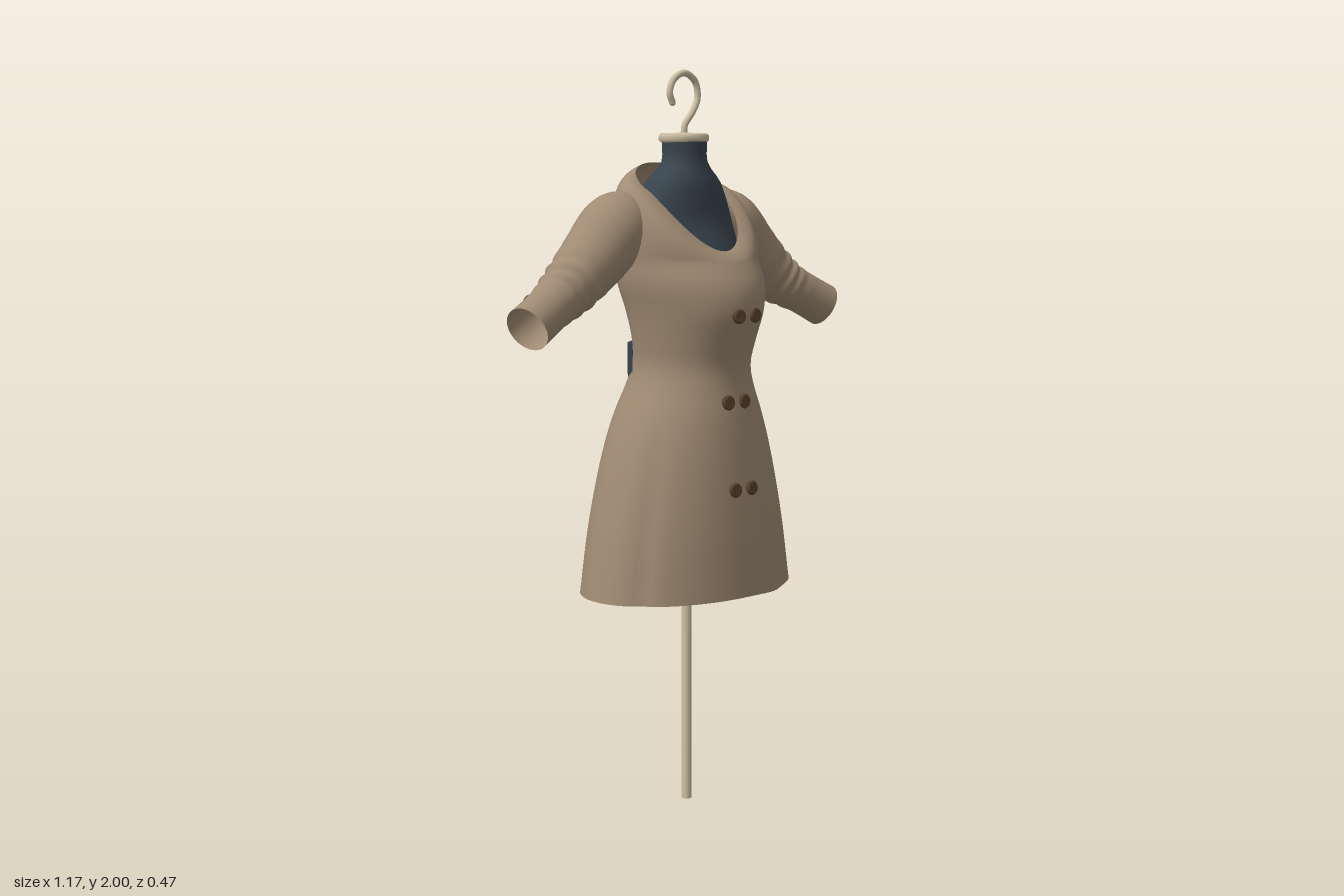
import * as THREE from 'three';

const V = (x, y, z) => new THREE.Vector3(x, y, z);
const mat = (name, color, side = THREE.FrontSide) => {
  const m = new THREE.MeshStandardMaterial({ color, side });
  m.name = name;
  return m;
};

// Closed skin over rows of points, each row running round the part
function loft(rows) {
  const n = rows[0].length, index = [];
  for (let i = 0; i < rows.length - 1; i++) {
    for (let j = 0; j < n; j++) {
      const a = i * n + j, b = i * n + (j + 1) % n;
      index.push(a, b, a + n, b, b + n, a + n);
    }
  }
  const g = new THREE.BufferGeometry().setFromPoints(rows.flat());
  g.setIndex(index);
  g.computeVertexNormals();
  return g;
}

// Smooth sampler for stations [t, ...values]
function sampler(stations) {
  const k = stations[0].length - 1;
  const it = new THREE.CubicInterpolant(
    stations.map(s => s[0]), stations.flatMap(s => s.slice(1)), k, new Float32Array(k));
  return t => Array.from(it.evaluate(t));
}

// Egg-shaped section: half width, front z, back z, middle z; angle 0 is the front
function sectionPoint([w, front, back, mid], y, a) {
  const c = Math.cos(a);
  return V(w * Math.sin(a), y, mid + c * (c > 0 ? front - mid : mid - back));
}

const SIDES = 72;
const angles = Array.from({ length: SIDES }, (_, j) => j / SIDES * Math.PI * 2);

const coatAt = sampler([
  [0.61, 0.33, 0.232, -0.235, 0], [0.8, 0.295, 0.222, -0.226, 0],
  [1.0, 0.243, 0.205, -0.2, 0], [1.1, 0.207, 0.193, -0.174, 0],
  [1.16, 0.18, 0.184, -0.15, 0], [1.22, 0.163, 0.182, -0.126, 0],
  [1.29, 0.169, 0.203, -0.118, 0], [1.37, 0.184, 0.229, -0.135, -0.005],
  [1.44, 0.203, 0.221, -0.152, -0.015], [1.5, 0.207, 0.186, -0.167, -0.025],
]);

function coatPoint(y, a) {
  const p = sectionPoint(coatAt(y), y, a);
  // Overlapping front flap and soft pleats of the skirt
  const skirt = 1 - THREE.MathUtils.smoothstep(y, 0.75, 1.2);
  const signed = a > Math.PI ? a - Math.PI * 2 : a;
  const flap = Math.exp(-Math.pow((signed - 0.3) / 0.16, 2)) * 0.012;
  const pleat = -0.008 * Math.exp(-Math.pow((Math.abs(signed) - 1.05) / 0.1, 2));
  const s = 1 + skirt * (flap + pleat) / 0.25;
  return V(p.x * s, y, p.z * s);
}

function coatBody() {
  const rows = [];
  for (let i = 0; i <= 44; i++) {
    const y = 0.61 + 0.89 * i / 44;
    rows.push(angles.map(a => coatPoint(y, a)));
  }
  // Chest and shoulders closing in to the V neckline and raised back collar
  const curves = angles.map(a => {
    const c = Math.cos(a), t = (1 - c) / 2, p = coatPoint(1.5, a);
    const neckY = c > 0 ? 1.69 - 0.165 * Math.pow(c, 1.3) : 1.69 - 0.065 * c;
    const neck = sectionPoint([0.135, 0.145, -0.125, -0.02], neckY, a);
    const z = (p.z + neck.z) / 2 * (1 - t) + p.z * 1.18 * t;
    const ctrl = V(p.x * 1.1, neckY + (c > 0 ? 0.03 - 0.035 * c : 0.03 + 0.06 * c), z);
    return new THREE.QuadraticBezierCurve3(p, ctrl, neck);
  });
  for (let i = 1; i <= 18; i++) rows.push(curves.map(q => q.getPoint(i / 18)));
  return loft(rows);
}

// Sleeve with pushed-up wrinkles around the elbow
function sleeve(side) {
  const stations = [
    [0.13, 1.61, -0.05, 0.07], [0.2, 1.587, -0.055, 0.095], [0.28, 1.518, -0.052, 0.09],
    [0.36, 1.454, -0.045, 0.078], [0.42, 1.415, -0.036, 0.067],
    [0.48, 1.384, -0.02, 0.06], [0.555, 1.345, -0.004, 0.061],
  ];
  const path = new THREE.CatmullRomCurve3(stations.map(s => V(s[0] * side, s[1], s[2])));
  const radius = sampler(stations.map((s, i) => [i / 6, s[3]]));
  const rows = [];
  for (let i = 0; i <= 60; i++) {
    const t = i / 60, c = path.getPoint(t), T = path.getTangent(t);
    const e1 = V(0, 0, 1).addScaledVector(T, -T.z).normalize();
    const e2 = T.clone().cross(e1);
    const crease = Math.exp(-Math.pow((t - 0.6) / 0.14, 2)) * 0.055;
    rows.push(angles.filter((_, j) => j % 2 === 0).map(a => {
      const r = radius(t)[0] * (1 + crease * Math.sin(t * 62 + 1.4 * Math.sin(a * 2 + 1)));
      return c.clone().addScaledVector(e1, r * Math.cos(a)).addScaledVector(e2, r * Math.sin(a));
    }));
  }
  return loft(rows);
}

// Padded torso and neck inside the coat
function dressForm() {
  const at = sampler([
    [0.75, 0.22, 0.16, -0.17, 0], [1.0, 0.2, 0.165, -0.165, 0],
    [1.2, 0.14, 0.14, -0.105, 0], [1.37, 0.155, 0.17, -0.11, 0],
    [1.5, 0.165, 0.13, -0.135, -0.01], [1.6, 0.16, 0.083, -0.13, -0.015],
    [1.67, 0.134, 0.074, -0.11, -0.015], [1.71, 0.108, 0.068, -0.098, -0.01],
    [1.745, 0.07, 0.056, -0.072, -0.008], [1.76, 0.061, 0.053, -0.068, -0.008],
    [1.815, 0.061, 0.053, -0.068, -0.008],
  ]);
  const rows = [angles.map(() => V(0, 0.75, 0))];
  for (let i = 0; i <= 56; i++) {
    const y = 0.75 + 1.065 * i / 56;
    rows.push(angles.map(a => sectionPoint(at(y), y, a)));
  }
  return loft(rows);
}

export function createModel() {
  const model = new THREE.Group();
  model.name = 'coatOnDressForm';
  const cloth = mat('tan cloth', 0xa08b73, THREE.DoubleSide);
  const dark = mat('dark slate fabric', 0x38444d, THREE.DoubleSide);
  const brown = mat('brown button', 0x5a432e);
  const cream = mat('cream wood', 0xcfc2a4);
  const add = (name, geometry, material) => {
    const m = new THREE.Mesh(geometry, material);
    m.name = name;
    model.add(m);
    return m;
  };

  add('coatBody', coatBody(), cloth);
  add('leftSleeve', sleeve(1), cloth);
  add('rightSleeve', sleeve(-1), cloth);
  add('dressForm', dressForm(), dark);

  // Dark panel across the back of the waist
  const panel = add('backWaistPanel',
    new THREE.CylinderGeometry(1, 1, 0.18, 40, 1, false, Math.PI - 1.25, 2.5), dark);
  panel.scale.set(0.162, 1, 0.155);
  panel.position.y = 1.185;

  // Buttons: domed discs laid along a surface normal
  const profile = [[0, -0.006], [0.019, -0.006], [0.02, 0.001], [0.017, 0.006], [0.013, 0.004], [0, 0.004]]
    .map(p => new THREE.Vector2(...p));
  const disc = new THREE.LatheGeometry(profile, 20);
  const button = (name, position, normal, size = 1) => {
    const b = add(name, disc, brown);
    b.position.copy(position);
    b.quaternion.setFromUnitVectors(V(0, 1, 0), normal.normalize());
    b.scale.setScalar(size);
  };
  for (const y of [1.36, 1.13, 0.9]) {
    for (const x of [-0.03, 0.03]) {
      const a = Math.asin(x / coatAt(y)[0]);
      const p = coatPoint(y, a < 0 ? a + Math.PI * 2 : a);
      button('frontButton', V(x, y, p.z + 0.003), V(x * 3, 0.05, 1));
    }
  }
  button('backButton', V(0, 1.525, -0.175), V(0, -0.1, -1), 0.75);
  for (const s of [-1, 1]) {
    button('cuffButton', V(s * 0.505, 1.412, -0.061), V(s * 0.3, 0.55, -0.78), 0.85);
  }

  // Stand, neck cap and hanging hook
  add('pole', new THREE.CylinderGeometry(0.014, 0.014, 0.8, 20), cream).position.y = 0.4;
  const cap = [[0, 1.808], [0.061, 1.808], [0.067, 1.814], [0.067, 1.826], [0.062, 1.832], [0, 1.834]]
    .map(p => new THREE.Vector2(...p));
  add('neckCap', new THREE.LatheGeometry(cap, 40), cream).position.z = -0.01;
  const bend = new THREE.CatmullRomCurve3([
    [0, 1.825], [0.004, 1.855], [0.032, 1.888], [0.051, 1.925], [0.042, 1.968],
    [0.003, 1.99], [-0.038, 1.972], [-0.052, 1.938], [-0.042, 1.912],
  ].map(([x, y]) => V(x, y, -0.01)));
  add('hook', new THREE.TubeGeometry(bend, 60, 0.009, 12), cream);
  add('hookTip', new THREE.SphereGeometry(0.009, 12, 8), cream).position.set(-0.042, 1.912, -0.01);

  return model;
}
